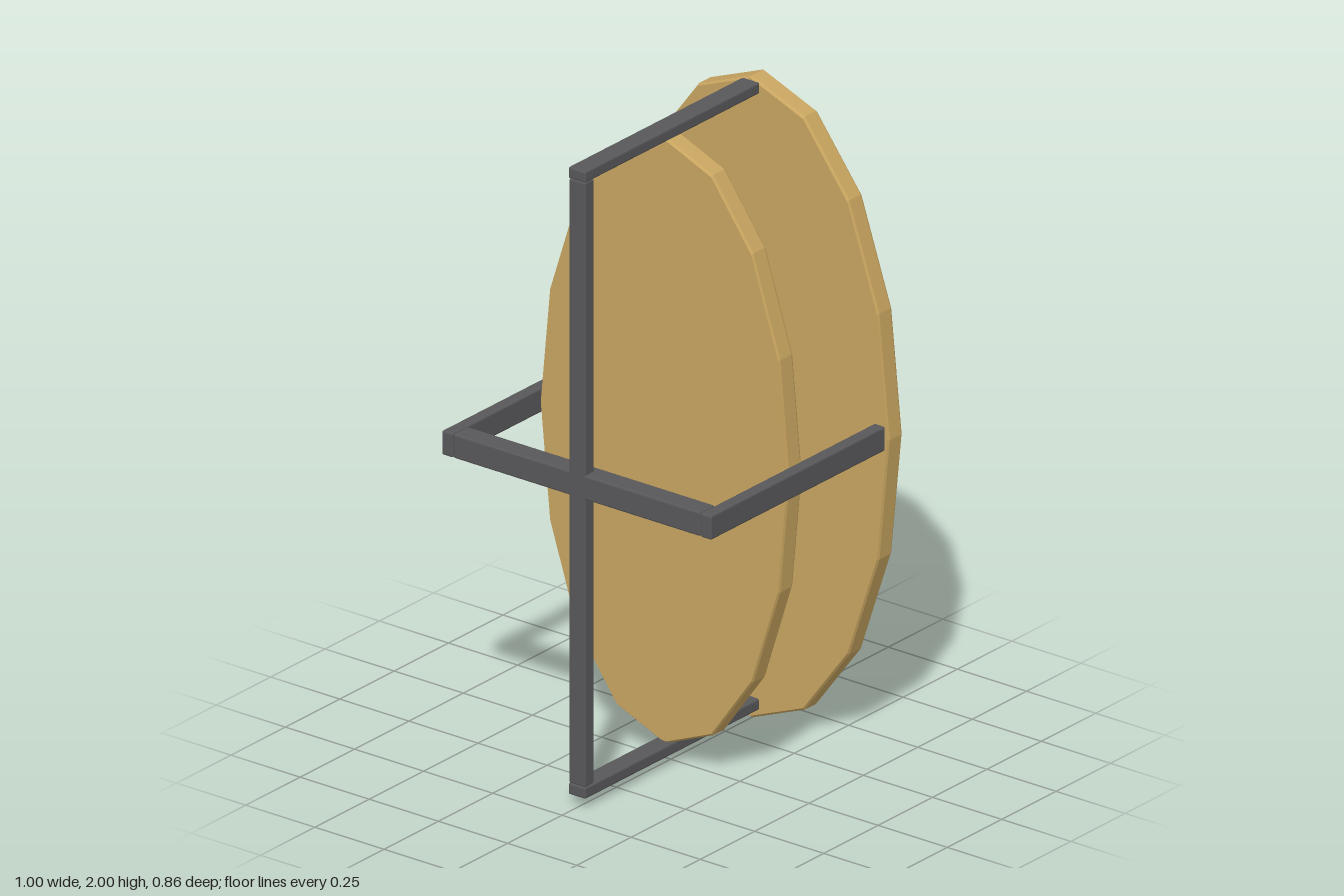
import * as THREE from 'three';
import { RoundedBoxGeometry } from 'three/addons/geometries/RoundedBoxGeometry.js';

export function createModel() {
  const model = new THREE.Group();
  const gold = new THREE.MeshStandardMaterial({ color: 0xc8a560, flatShading: true });
  const dark = new THREE.MeshStandardMaterial({ color: 0x58585a, flatShading: true });

  const add = (name, geometry, material, x, y, z) => {
    const mesh = new THREE.Mesh(geometry, material);
    mesh.name = name;
    mesh.position.set(x, y, z);
    model.add(mesh);
  };

  // Sixteen-sided oval plate with a narrow bevel, facing +z
  const plate = (name, rx, ry, y, z) => {
    const h = 0.0325, b = 0.007;
    const profile = [[0, -h], [1 - b, -h], [1, -h + b], [1, h - b], [1 - b, h], [0, h]]
      .map(([r, t]) => new THREE.Vector2(r, t));
    const geometry = new THREE.LatheGeometry(profile, 16).rotateX(Math.PI / 2).scale(rx, ry, 1);
    add(name, geometry, gold, 0, y, z);
  };

  // Bar with softened edges, given by its limits on each axis
  const bar = (name, [x0, x1], [y0, y1], [z0, z1]) => {
    const geometry = new RoundedBoxGeometry(x1 - x0, y1 - y0, z1 - z0, 1, 0.005);
    add(name, geometry, dark, (x0 + x1) / 2, (y0 + y1) / 2, (z0 + z1) / 2);
  };

  plate('backPlate', 0.498, 0.998, 1, -0.4);
  plate('middlePlate', 0.449, 0.943, 1.003, -0.002);

  // Crossed front bars
  bar('frontUpright', [-0.03, 0.028], [0.07, 1.95], [0.388, 0.43]);
  bar('frontCrossbar', [-0.448, 0.444], [0.965, 1.04], [0.362, 0.43]);

  // Arms joining the cross to the back plate
  const depth = [-0.372, 0.431];
  bar('topArm', [-0.032, 0.03], [1.95, 1.985], depth);
  bar('bottomArm', [-0.032, 0.03], [0.035, 0.07], depth);
  bar('leftArm', [0.446, 0.485], [0.965, 1.04], depth);
  bar('rightArm', [-0.489, -0.45], [0.965, 1.04], depth);

  return model;
}
